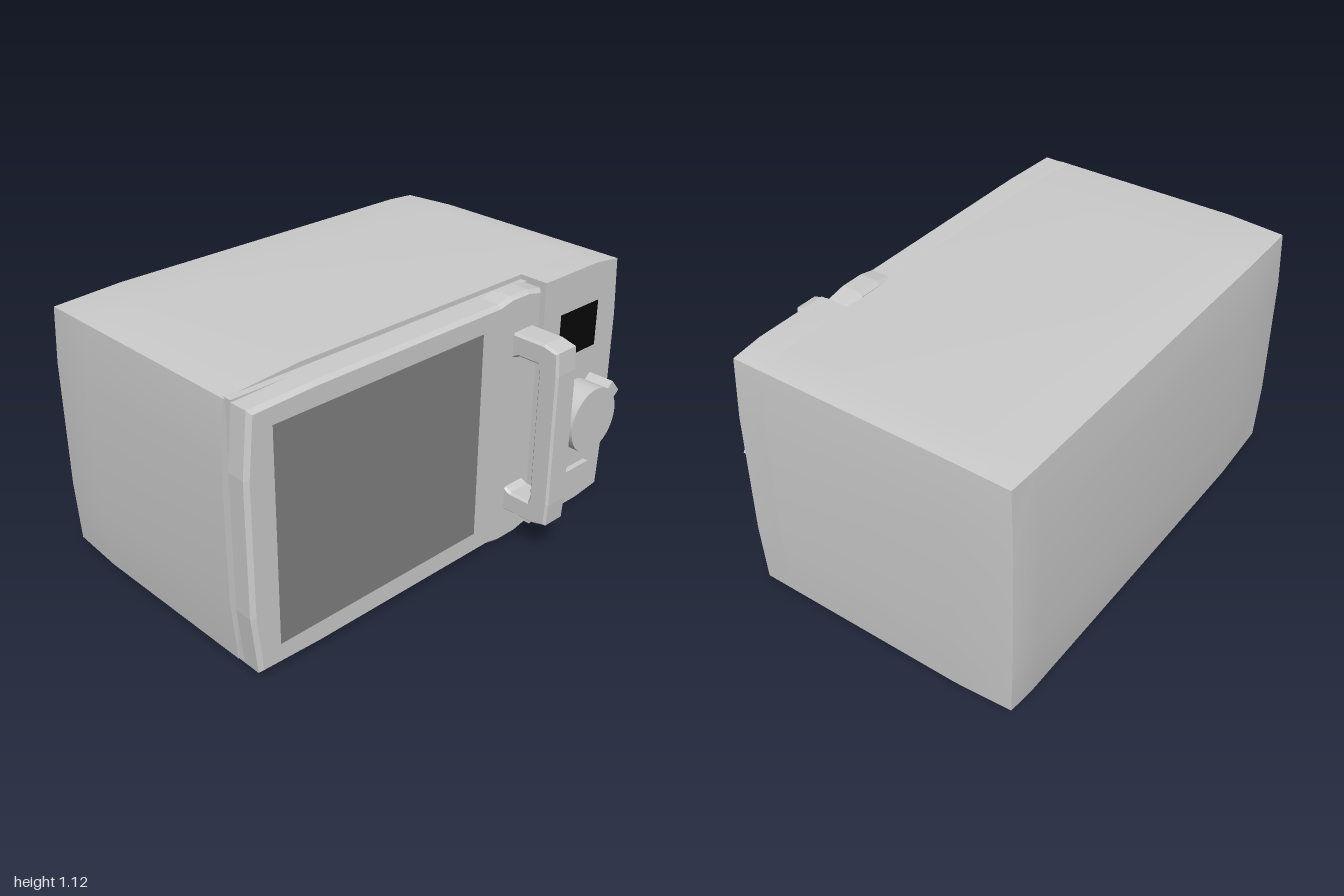
import * as THREE from 'three';

const grey = new THREE.MeshStandardMaterial({ color: 0xcccccc });
const glass = new THREE.MeshStandardMaterial({ color: 0x808080 });
const black = new THREE.MeshStandardMaterial({ color: 0x080808 });

// Box on a grid of coordinates; where two bulged ends meet, the edge is pulled in
// ends: [low, high] pull-in for each axis, 0 leaves that end flat
function pillowBox(grid, ends) {
  const n = grid.map(g => g.length - 1);
  const geo = new THREE.BoxGeometry(1, 1, 1, ...n);
  const pos = geo.attributes.position;
  for (let i = 0; i < pos.count; i++) {
    const k = [pos.getX(i), pos.getY(i), pos.getZ(i)].map((p, a) => Math.round((p + 0.5) * n[a]));
    const v = k.map((q, a) => (q === 0 ? ends[a][0] : q === n[a] ? ends[a][1] : 0));
    const p = k.map((q, a) => {
      if (!v[a]) return grid[a][q];
      const pulls = [0, 1, 2].map(b => (b !== a && v[b] ? (v[a] + v[b]) / 2 : 0));
      return grid[a][q] + (q === 0 ? 1 : -1) * Math.hypot(...pulls);
    });
    pos.setXYZ(i, ...p);
  }
  geo.computeVertexNormals();
  return geo;
}

function shapeOf(points) {
  return new THREE.Shape(points.map(([x, y]) => new THREE.Vector2(x, y)));
}

// Box given by its centre and size
function block(sx, sy, sz, x, y, z) {
  return new THREE.BoxGeometry(sx, sy, sz).translate(x, y, z);
}

export function createModel() {
  const model = new THREE.Group();
  const add = (name, geo, mat = grey, parent = model) => {
    const mesh = new THREE.Mesh(geo, mat);
    mesh.name = name;
    parent.add(mesh);
    return mesh;
  };

  // Oven housing, with the control panel standing forward of it
  const ys = [0, 0.3, 0.85, 1.12];
  add('housing', pillowBox([[-0.73, -0.45, 0.37], ys, [-1, -0.85, 0.65, 1]],
    [[0.024, 0], [0.022, 0.022], [0.012, 0.026]]));
  add('controlPanel', pillowBox([[0.37, 0.5], ys, [-1, -0.85, -0.52]],
    [[0, 0], [0.022, 0.022], [0.012, 0]]));
  add('doorGap', block(0.04, 1.08, 1.5, 0.38, 0.56, 0.22));

  // Door: bevelled slab that grows slightly taller behind the handle
  const bevel = 0.016;
  const top = [[0.5, 1.105], [0.43, 1.12], [0.33, 1.12], [0.26, 1.105], [-0.7, 1.105], [-0.975, 1.095]];
  const left = [[-1, 0.85], [-1, 0.27]];
  const bottom = top.map(([u, y]) => [u, 1.12 - y]).reverse();
  const outline = [...top, ...left, ...bottom].map(([u, y]) =>
    [-0.25 + (u + 0.25) * (1 - bevel / 0.75), 0.56 + (y - 0.56) * (1 - bevel / 0.56)]);
  const door = new THREE.ExtrudeGeometry(shapeOf(outline), {
    depth: 0.11 - 2 * bevel, bevelEnabled: true, bevelSize: bevel, bevelThickness: bevel, bevelSegments: 1,
  });
  add('door', door.rotateY(Math.PI / 2).translate(0.39 + bevel, 0, 0));
  add('doorWindow', new THREE.PlaneGeometry(1.035, 0.9).rotateY(Math.PI / 2).translate(0.502, 0.565, 0.3625), glass);

  // Handle: bracket profile, extruded across its width
  const half = [[0.5, 0.395], [0.65, 0.395], [0.71, 0.38], [0.716, 0.29]];
  const inner = [[0.64, 0.29], [0.63, 0.32], [0.53, 0.32], [0.5, 0.305]];
  const flip = list => list.map(([x, y]) => [x, -y]).reverse();
  const handle = new THREE.ExtrudeGeometry(
    shapeOf([...half, ...flip(half), ...flip(inner), ...inner]),
    { depth: 0.1, bevelEnabled: true, bevelSize: 0.009, bevelThickness: 0.01, bevelSegments: 1 });
  add('handle', handle.translate(0, 0.56, -0.445));

  // Knob with a pointer tab on its rim
  const knob = new THREE.Group();
  knob.name = 'knob';
  knob.position.set(0.56, 0.473, -0.75);
  add('knobDial', new THREE.CylinderGeometry(0.146, 0.146, 0.124, 40).rotateZ(Math.PI / 2), grey, knob);
  const tab = add('knobPointer', block(0.122, 0.074, 0.1, 0, 0, -0.13), grey, knob);
  tab.rotation.x = 0.7;
  model.add(knob);

  // Display and push button
  add('display', new THREE.PlaneGeometry(0.245, 0.205).rotateY(Math.PI / 2).translate(0.502, 0.848, -0.75), black);
  add('doorButton', block(0.03, 0.095, 0.278, 0.51, 0.137, -0.738));

  return model;
}
